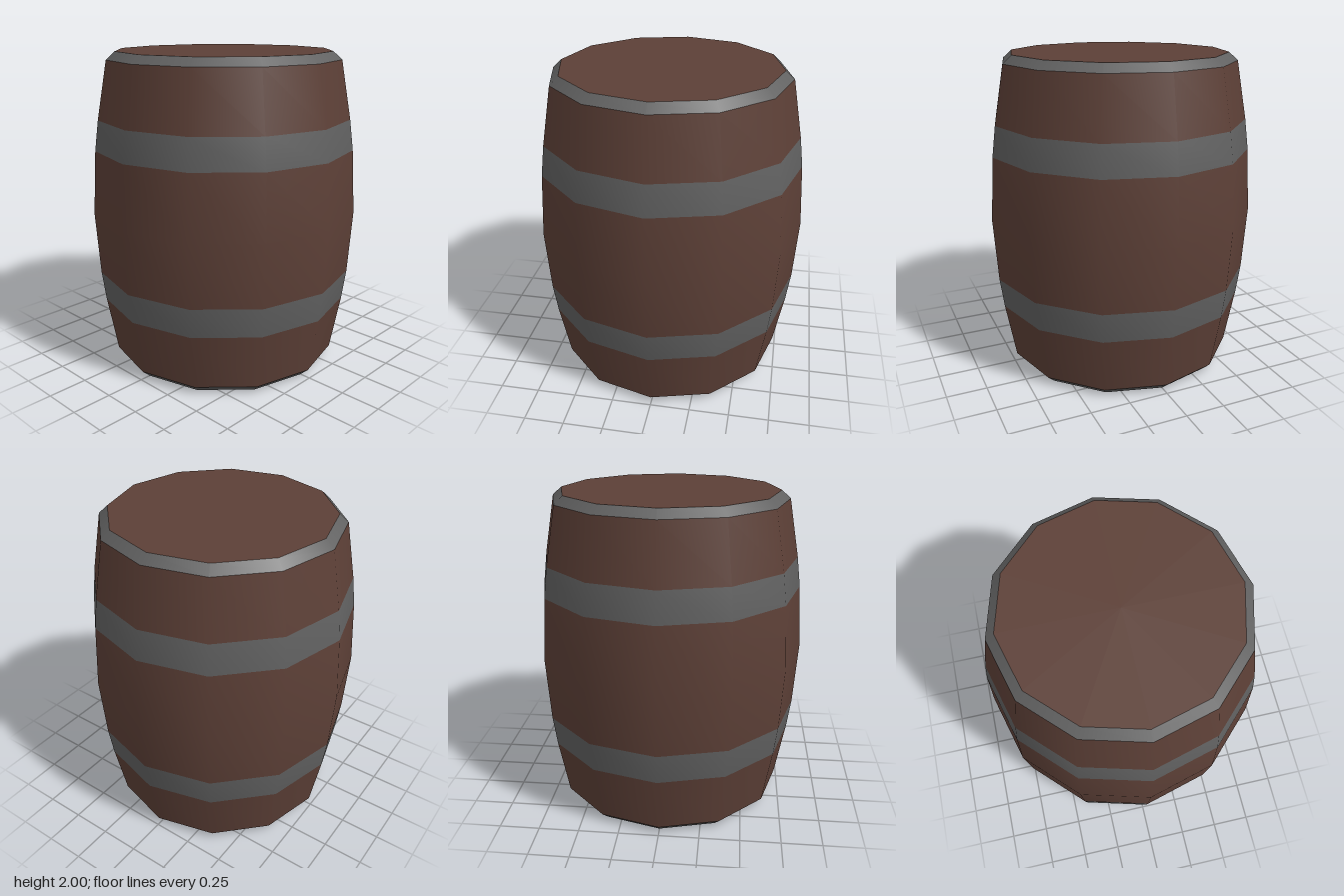
import * as THREE from 'three';

const SIDES = 12;
const wood = new THREE.MeshStandardMaterial({ color: 0x5d4037 });
wood.name = 'brown wood';
const iron = new THREE.MeshStandardMaterial({ color: 0x616161 });
iron.name = 'grey iron';

// Half of the bulging side profile as [radius, height above the middle]
const HALF = [[0.85, 0], [0.825, 0.4], [0.8, 0.59], [0.735, 0.95]];
const RIM = 0.68;

function lathe(points) {
  return new THREE.LatheGeometry(points.map(([r, y]) => new THREE.Vector2(r, y)), SIDES);
}

export function createModel() {
  const group = new THREE.Group();
  group.name = 'barrel';
  const add = (name, geometry, material) => {
    const mesh = new THREE.Mesh(geometry, material);
    mesh.name = name;
    group.add(mesh);
    return mesh;
  };

  // Staves and flush hoops share one smooth surface, coloured row by row
  const profile = [
    ...HALF.slice(1).reverse().map(([r, h]) => [r, 1 - h]),
    ...HALF.map(([r, h]) => [r, 1 + h]),
  ];
  const side = lathe(profile);
  const rows = profile.length - 1;
  for (let s = 0; s < SIDES; s++) {
    for (let row = 0; row < rows; row++) {
      const isHoop = row === 1 || row === rows - 2;
      side.addGroup((s * rows + row) * 6, 6, isHoop ? 1 : 0);
    }
  }
  add('stavesAndHoops', side, [wood, iron]);

  // Bevelled iron rims
  const edge = HALF[3][0];
  add('bottomRim', lathe([[RIM, 0], [edge, 0.05]]), iron);
  add('topRim', lathe([[edge, 1.95], [RIM, 2]]), iron);

  // Flat wooden heads
  const head = new THREE.CircleGeometry(RIM, SIDES);
  const lid = add('lid', head, wood);
  lid.rotation.x = -Math.PI / 2;
  lid.position.y = 2;
  add('base', head, wood).rotation.x = Math.PI / 2;

  return group;
}
